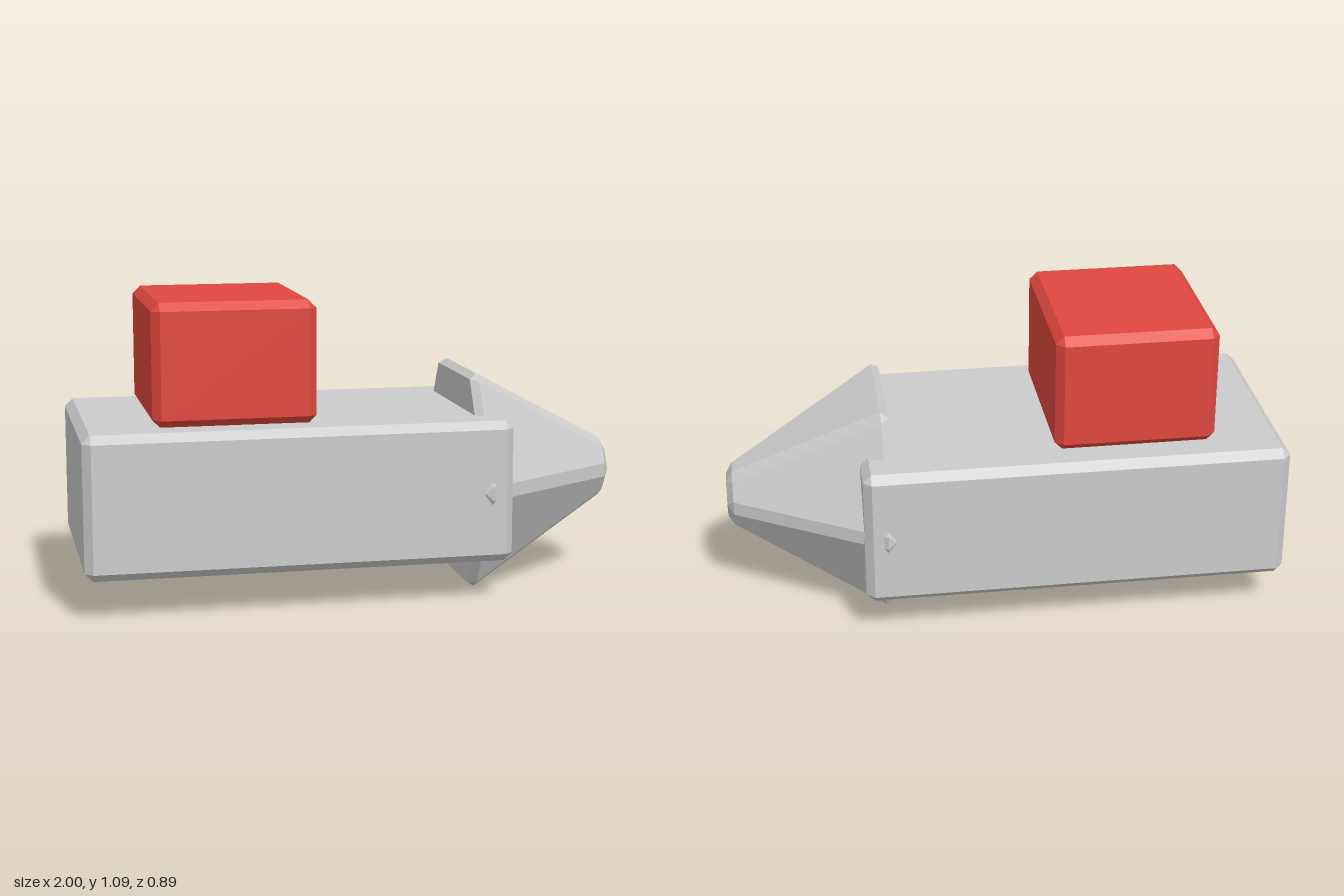
import * as THREE from 'three';
import { ConvexGeometry } from 'three/addons/geometries/ConvexGeometry.js';

const BEVEL = 0.029;

function makeMesh(name, points, color) {
  const material = new THREE.MeshStandardMaterial({ color, flatShading: true });
  const mesh = new THREE.Mesh(new ConvexGeometry(points), material);
  mesh.name = name;
  return mesh;
}

// Corner points of a box with every edge chamfered
function chamferedBox(w, h, d, b = BEVEL) {
  const points = [];
  for (const sx of [-1, 1]) for (const sy of [-1, 1]) for (const sz of [-1, 1]) {
    const x = w / 2, y = h / 2, z = d / 2;
    points.push(
      new THREE.Vector3(sx * x, sy * (y - b), sz * (z - b)),
      new THREE.Vector3(sx * (x - b), sy * y, sz * (z - b)),
      new THREE.Vector3(sx * (x - b), sy * (y - b), sz * z)
    );
  }
  return points;
}

// Hexagon across the x axis; a cut above zero trims each corner
function hexRing(x, radius, cut) {
  const corners = [];
  for (let i = 0; i < 6; i++) {
    const a = i * Math.PI / 3;
    corners.push(new THREE.Vector3(x, radius * Math.sin(a), radius * Math.cos(a)));
  }
  if (!cut) return corners;
  return corners.flatMap((c, i) => [corners[(i + 5) % 6], corners[(i + 1) % 6]]
    .map((n) => c.clone().lerp(n, cut / radius)));
}

export function createModel() {
  const group = new THREE.Group();

  // Long main block
  const body = makeMesh('body', chamferedBox(1.525, 0.51, 0.87), 0xcccccc);
  body.position.set(-0.2375, 0.4, 0);

  // Red block standing on the body
  const cabin = makeMesh('cabin', chamferedBox(0.58, 0.437, 0.654), 0xe0483f);
  cabin.position.set(-0.456, 0.8705, 0);

  // Six-sided nose with bevelled edges, pointing along +x
  const nose = makeMesh('nose', [
    ...hexRing(0.415, 0.437, 0),
    ...hexRing(0.443, 0.459, BEVEL),
    ...hexRing(0.977, 0.128, BEVEL),
    ...hexRing(1.0, 0.078, 0)
  ], 0xcccccc);
  nose.position.y = 0.3975;

  group.add(body, cabin, nose);
  return group;
}
